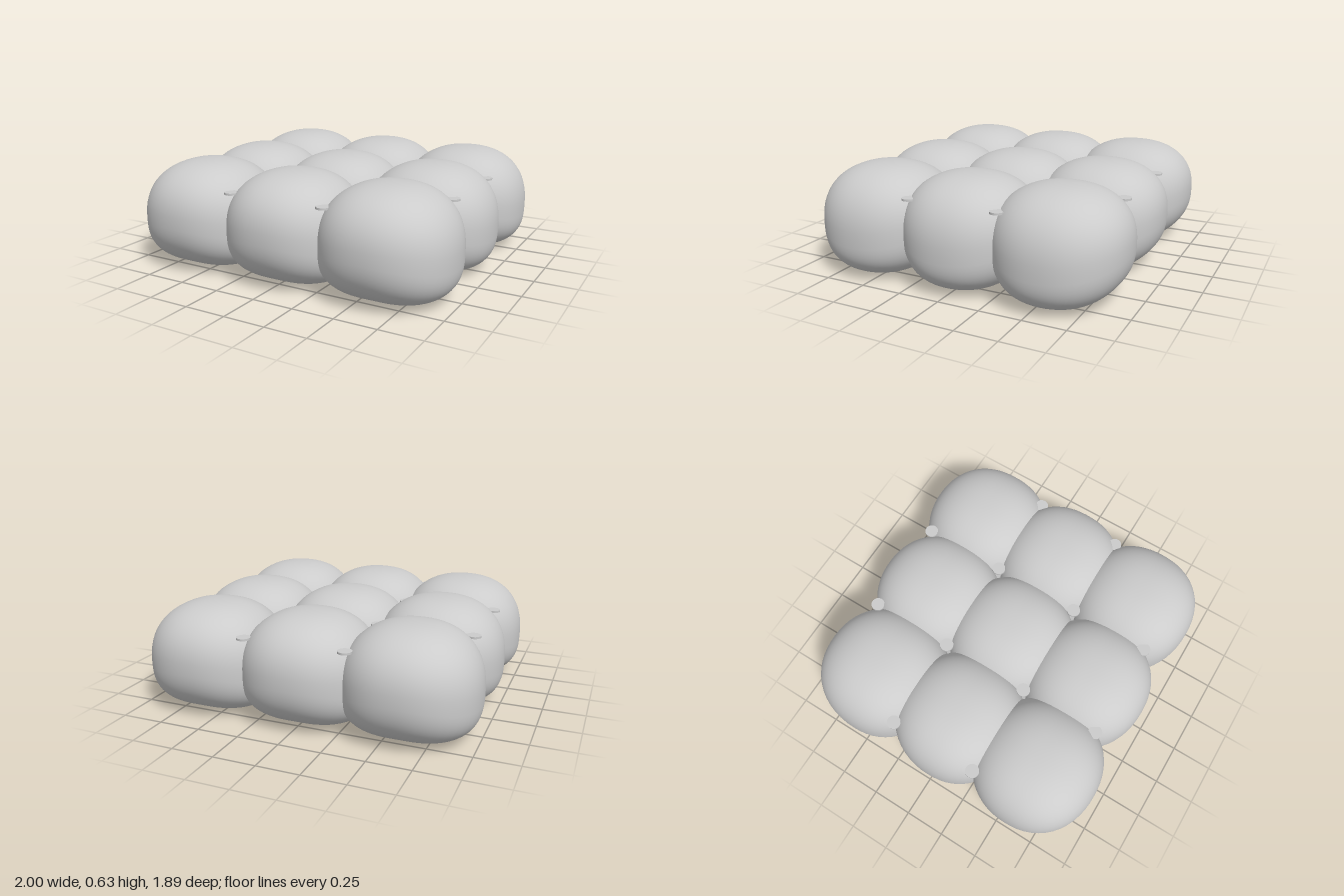
import * as THREE from 'three';
import { mergeVertices } from 'three/addons/utils/BufferGeometryUtils.js';

const TOP = 0.64, BOTTOM = 0.005, RX = 0.395, RZ = 0.385;
const PITCH_X = 0.605, PITCH_Z = 0.56;

// Padded pillow: a sphere reshaped to a superellipsoid whose x sides sag and square off below
function pillowGeometry() {
  let geo = new THREE.SphereGeometry(1, 56, 40);
  geo.deleteAttribute('uv');
  geo.deleteAttribute('normal');
  geo = mergeVertices(geo, 1e-5);
  const pos = geo.attributes.position;
  for (let i = 0; i < pos.count; i++) {
    const x = pos.getX(i), y = pos.getY(i), z = pos.getZ(i);
    const r = Math.hypot(x, z);
    // any direction will do at the poles, where the reach is zero
    const atPole = r < 1e-4;
    const c = atPole ? 1 : x / r, s = atPole ? 0 : z / r;
    const sag = c * c;
    const mid = 0.325 - 0.06 * sag;
    const n = y >= 0 ? 2.35 : 2.35 + 0.75 * sag;
    const reach = atPole ? 0 : Math.pow(r, 2 / n);
    const rise = Math.pow(Math.abs(y), 2 / n);
    const plan = Math.pow(Math.pow(Math.abs(c), 2.2) + Math.pow(Math.abs(s), 2.2), -1 / 2.2);
    pos.setXYZ(i,
      RX * reach * plan * c,
      mid + (y >= 0 ? TOP - mid : BOTTOM - mid) * rise,
      RZ * reach * plan * s);
  }
  geo.computeVertexNormals();
  return geo;
}

export function createModel() {
  const model = new THREE.Group();
  model.name = 'tuftedCushion';
  const material = new THREE.MeshStandardMaterial({ color: 0xcccccc });

  // Three by three grid of pillows that run into one another at the seams
  const pillows = new THREE.Group();
  pillows.name = 'pillows';
  const pillowGeo = pillowGeometry();
  for (const i of [-1, 0, 1]) {
    for (const j of [-1, 0, 1]) {
      const pillow = new THREE.Mesh(pillowGeo, material);
      pillow.name = 'pillow';
      pillow.position.set(i * PITCH_X, 0, j * PITCH_Z);
      pillows.add(pillow);
    }
  }
  model.add(pillows);

  // Flat buttons where the seams cross and at the seam ends
  const buttons = new THREE.Group();
  buttons.name = 'buttons';
  const buttonGeo = new THREE.CylinderGeometry(0.041, 0.041, 0.012, 32);
  const addButton = (x, z) => {
    const button = new THREE.Mesh(buttonGeo, material);
    button.name = 'button';
    button.position.set(x, 0.505, z);
    buttons.add(button);
  };
  for (const z of [-0.795, -0.28, 0.27, 0.765]) {
    for (const x of [-0.303, 0.303]) addButton(x, z);
  }
  for (const z of [-0.28, 0.27]) {
    for (const x of [-0.873, 0.84]) addButton(x, z);
  }
  model.add(buttons);

  return model;
}
